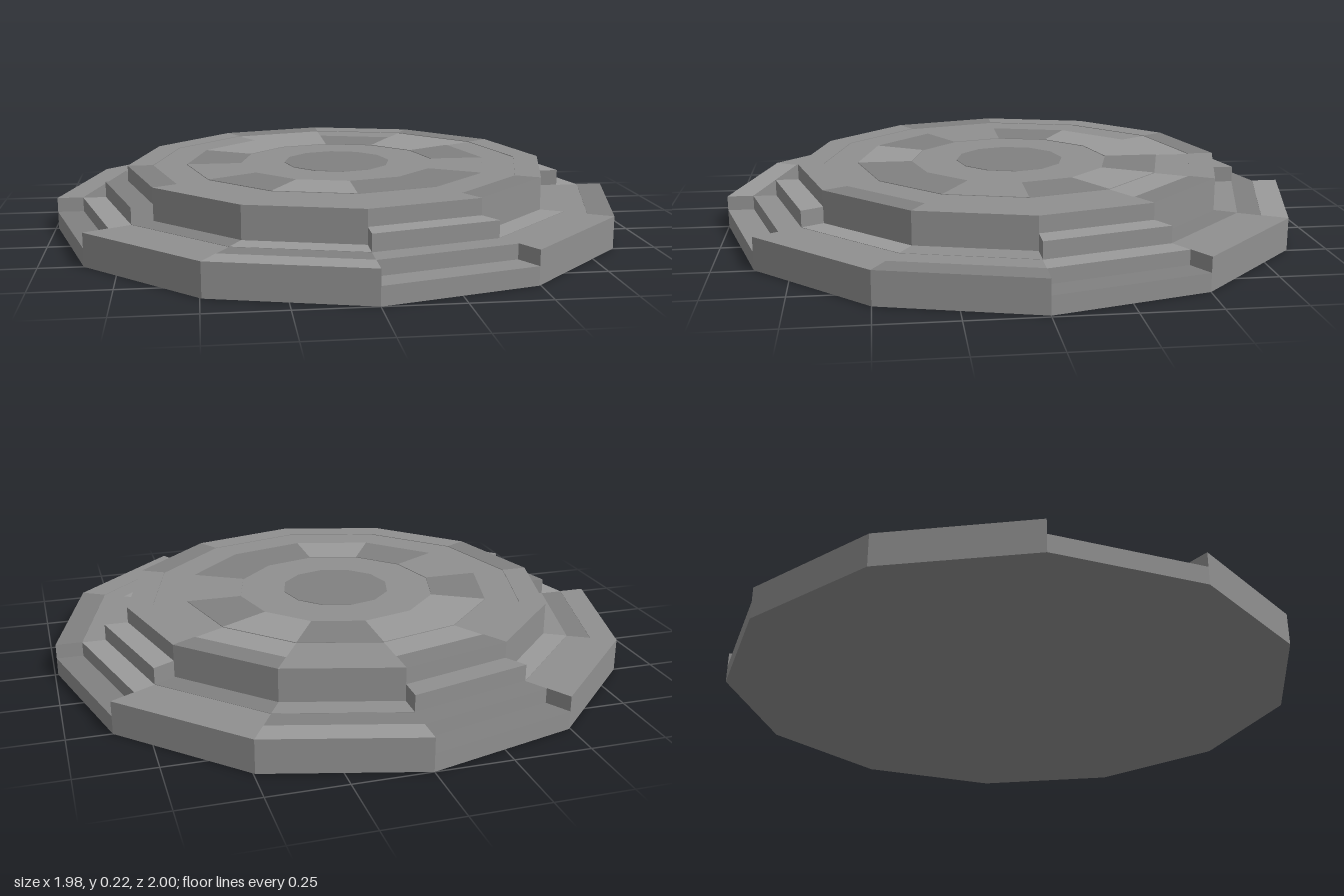
import * as THREE from 'three';

const SIDES = 12;
const STEP = (Math.PI * 2) / SIDES;
const WIDTH = 0.99; // the plan is slightly narrower across x

// Corner of a 12-sided outline; corner 0 faces the front, counting towards +x
const corner = (r, i) => new THREE.Vector2(WIDTH * r * Math.sin(i * STEP), -r * Math.cos(i * STEP));
const arc = (r, first, count) => Array.from({ length: count }, (_, k) => corner(r, first + k));

// Stone shades: dark, medium and light
const stone = (color) => new THREE.MeshStandardMaterial({ color, flatShading: true });

// Top height for bands that differ on every third side
const everyThird = (special, usual) => (i) => (i % 3 === 0 ? special : usual);

export function createModel() {
  const group = new THREE.Group();
  const shades = { d: stone(0x818181), m: stone(0x909090), l: stone(0x9a9a9a) };

  // Flat outline raised from y0 to y1, with a shaded top and medium sides
  function slab(name, points, y0, y1, shade) {
    const geometry = new THREE.ExtrudeGeometry(new THREE.Shape(points), { depth: y1 - y0, bevelEnabled: false });
    geometry.rotateX(-Math.PI / 2).translate(0, y0, 0);
    const mesh = new THREE.Mesh(geometry, [shades[shade], shades.m]);
    mesh.name = name;
    group.add(mesh);
  }

  // Band of twelve paving tiles, one shade letter per tile
  function band(name, inner, outer, top, tints) {
    [...tints].forEach((shade, i) => {
      const points = [...arc(outer, i, 2), ...arc(inner, i, 2).reverse()];
      slab(name, points, 0.03, top(i), shade);
    });
  }

  slab('foundation', arc(1, 0, SIDES), 0, 0.03, 'm');

  // Lower terrace: rim with four notches, ledge, and four raised blocks
  band('outerRim', 0.91, 1, everyThird(0.06, 0.11), 'mmddmldmmdml');
  band('ledge', 0.83, 0.91, () => 0.109, 'mmmlmddmdlmd');
  band('blockBand', 0.75, 0.83, everyThird(0.165, 0.11), 'llmldmmlmddl');

  // Upper platform, its bands set a hair above and below each other
  band('platformRim', 0.66, 0.75, () => 0.22, 'mdmmdmdmmdmm');
  band('platformOuterBand', 0.54, 0.66, () => 0.218, 'mmmmlmlmmmmm');
  band('platformMiddleBand', 0.35, 0.54, () => 0.22, 'ddmdldlldmdl');
  band('platformInnerBand', 0.19, 0.35, () => 0.218, 'mmmmmmmmmmmm');
  slab('platformCentre', arc(0.19, 0, SIDES), 0.03, 0.22, 'd');

  return group;
}
